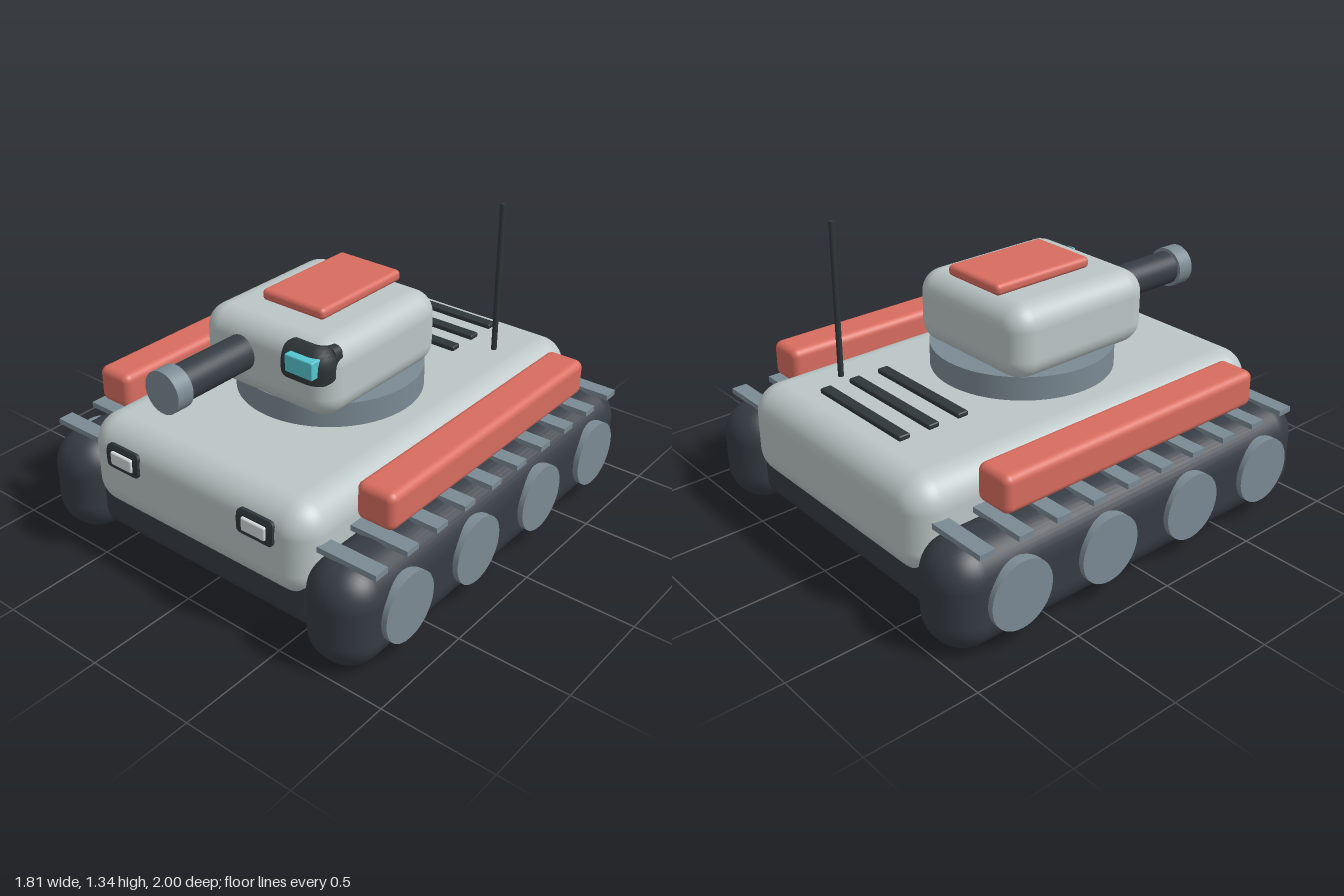
import * as THREE from 'three';
import { RoundedBoxGeometry } from 'three/addons/geometries/RoundedBoxGeometry.js';

const material = (name, color) => {
  const m = new THREE.MeshStandardMaterial({ color });
  m.name = name;
  return m;
};

export function createModel() {
  const armour = material('pale grey armour', 0xbcc6c6);
  const rubber = material('dark rubber', 0x363c44);
  const trim = material('black trim', 0x2f3639);
  const steel = material('blue grey steel', 0x7b8a94);
  const red = material('coral red', 0xd86c5f);
  const glass = material('cyan glass', 0x55c5d0);
  const lamp = material('lamp white', 0xd3d9d9);

  const model = new THREE.Group();
  model.name = 'tank';

  const add = (name, geometry, mat, x, y, z, parent = model) => {
    const mesh = new THREE.Mesh(geometry, mat);
    mesh.name = name;
    mesh.position.set(x, y, z);
    parent.add(mesh);
    return mesh;
  };
  // Rounded box given by its extents on each axis
  const block = (name, mat, [x0, x1], [y0, y1], [z0, z1], r, parent) =>
    add(name, new RoundedBoxGeometry(x1 - x0, y1 - y0, z1 - z0, 6, r), mat,
      (x0 + x1) / 2, (y0 + y1) / 2, (z0 + z1) / 2, parent);
  const cylinderZ = (r, length) => new THREE.CylinderGeometry(r, r, length, 40).rotateX(Math.PI / 2);

  // Plate with rounded corners, bent back over the rounded edge of a body
  // whose flat front ends at body.x and body.y
  const bentPlate = (w, h, depth, corner, cx, cy, body) => {
    const g = new THREE.BoxGeometry(w, h, depth, 16, 12, 1);
    const p = g.attributes.position;
    for (let i = 0; i < p.count; i++) {
      let x = p.getX(i), y = p.getY(i);
      const ix = THREE.MathUtils.clamp(x, corner - w / 2, w / 2 - corner);
      const iy = THREE.MathUtils.clamp(y, corner - h / 2, h / 2 - corner);
      const d = Math.hypot(x - ix, y - iy);
      if (d > corner) {
        x = ix + (x - ix) * corner / d;
        y = iy + (y - iy) * corner / d;
      }
      const dx = Math.max(0, Math.abs(cx + x) - body.x);
      const dy = Math.max(0, cy + y - body.y);
      const drop = body.r - Math.sqrt(Math.max(0, body.r ** 2 - dx * dx - dy * dy));
      p.setXYZ(i, x, y, p.getZ(i) - Math.min(drop, body.r * 0.75));
    }
    g.computeVertexNormals();
    return g;
  };

  // Hull and chassis
  block('hull', armour, [-0.61, 0.61], [0.21, 0.635], [-0.965, 0.965], 0.13);
  block('chassis', rubber, [-0.62, 0.62], [0.07, 0.4], [-0.92, 0.92], 0.08);

  // Running gear, mirrored
  for (const side of [1, -1]) {
    const gear = new THREE.Group();
    gear.name = side > 0 ? 'leftRunningGear' : 'rightRunningGear';
    model.add(gear);
    const span = (a, b) => (side > 0 ? [a, b] : [-b, -a]);
    block('track', rubber, span(0.56, 0.88), [0, 0.46], [-1, 1], 0.152, gear);
    for (const z of [0.7, 0.24, -0.24, -0.7]) {
      add('wheel', new THREE.CylinderGeometry(0.15, 0.15, 0.06, 40).rotateZ(Math.PI / 2),
        steel, side * 0.875, 0.233, z, gear);
    }
    for (let i = 0; i < 10; i++) {
      add('treadPad', new THREE.BoxGeometry(0.29, 0.025, 0.072), steel,
        side * 0.735, 0.464, -0.85 + i * 1.7 / 9, gear);
    }
    block('sideStowageBox', red, span(0.63, 0.81), [0.518, 0.685], [-0.7, 0.7], 0.035, gear);

    // Headlight
    const hullFront = { x: 0.48, y: 0.505, r: 0.13 };
    add('headlightFrame', bentPlate(0.185, 0.105, 0.03, 0.02, side * 0.367, 0.507, hullFront),
      trim, side * 0.367, 0.507, 0.963, gear);
    block('headlightLens', lamp, span(0.305, 0.428), [0.474, 0.535], [0.955, 0.988], 0.008, gear);
  }

  // Rear deck: vents and aerial
  for (const z of [-0.765, -0.62, -0.473]) {
    block('vent', trim, [-0.28, 0.28], [0.65, 0.674], [z - 0.027, z + 0.027], 0.008);
  }
  add('aerial', new THREE.CylinderGeometry(0.013, 0.013, 0.71, 16), trim, 0.39, 0.985, -0.615);

  // Turret
  const turret = new THREE.Group();
  turret.name = 'turret';
  model.add(turret);
  add('turretRing', new THREE.CylinderGeometry(0.408, 0.408, 0.108, 64), steel, 0, 0.694, 0.085, turret);
  block('turretBody', armour, [-0.35, 0.35], [0.718, 1.058], [-0.245, 0.52], 0.105, turret);
  block('hatch', red, [-0.166, 0.166], [1.06, 1.112], [-0.195, 0.33], 0.022, turret);

  // Gun
  add('barrel', cylinderZ(0.077, 0.45), rubber, -0.112, 0.91, 0.675, turret);
  add('muzzle', cylinderZ(0.092, 0.08), steel, -0.112, 0.91, 0.918, turret);

  // Sight
  const turretFront = { x: 0.245, y: 0.953, r: 0.105 };
  add('sightFrame', bentPlate(0.22, 0.15, 0.04, 0.03, 0.231, 0.968, turretFront),
    trim, 0.231, 0.968, 0.515, turret);
  block('sightGlass', glass, [0.158, 0.3], [0.93, 1.008], [0.5, 0.555], 0.006, turret);

  return model;
}
